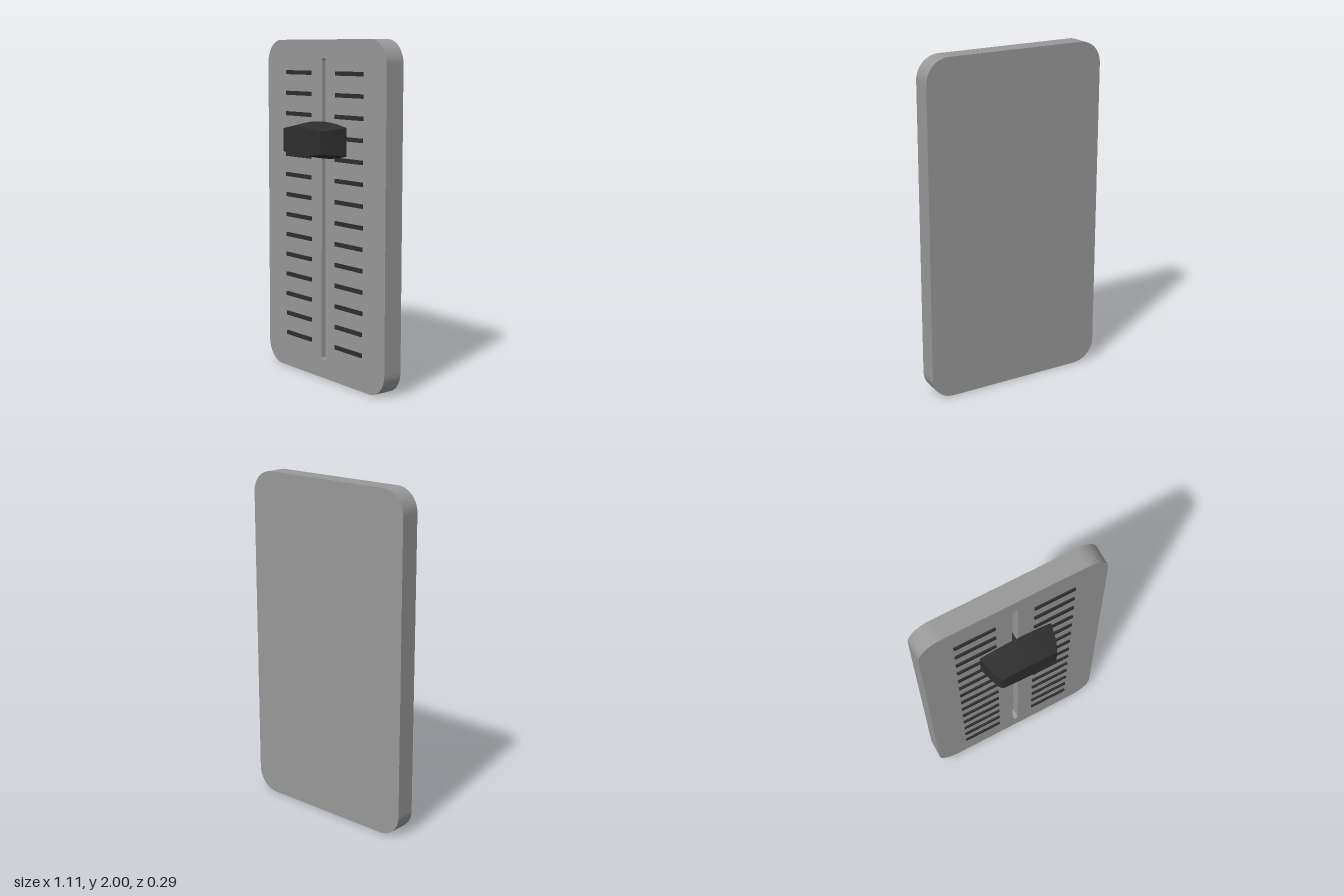
import * as THREE from 'three';
import { toCreasedNormals } from 'three/addons/utils/BufferGeometryUtils.js';

const BACK = -0.145, FACE = -0.025, SLOT_FLOOR = -0.085;
const KNOB_Y = 1.423, KNOB_BACK = -0.018;

// Rounded rectangle outline, centred on x
function roundedOutline(path, halfW, y0, y1, r) {
  path.moveTo(halfW, y0 + r);
  path.absarc(halfW - r, y1 - r, r, 0, Math.PI / 2, false);
  path.absarc(-halfW + r, y1 - r, r, Math.PI / 2, Math.PI, false);
  path.absarc(-halfW + r, y0 + r, r, Math.PI, Math.PI * 1.5, false);
  path.absarc(halfW - r, y0 + r, r, Math.PI * 1.5, Math.PI * 2, false);
  return path;
}

// Plate layer between two depths, with or without the slot
function plateLayer(z0, z1, slotted) {
  const shape = roundedOutline(new THREE.Shape(), 0.555, 0, 2, 0.135);
  if (slotted) shape.holes.push(roundedOutline(new THREE.Path(), 0.0185, 0.11, 1.895, 0.0184));
  const geo = new THREE.ExtrudeGeometry(shape, { depth: z1 - z0, bevelEnabled: false, curveSegments: 8 });
  return geo.translate(0, 0, z0);
}

// Knob: trapezoid cross-sections along x, bowed in height and tapered to the front
function knobGeometry() {
  const side = [[0.22, KNOB_BACK], [0.213, 0.02], [0.204, 0.06], [0.193, 0.095], [0.18, 0.125],
    [0.176, 0.134], [0.17, 0.141], [0.161, 0.145]];
  const stations = side.map(([x, z]) => [-x, z]);
  for (let i = 1; i < 12; i++) stations.push([-0.161 + 0.322 * i / 12, 0.145]);
  stations.push(...side.slice().reverse());

  const pos = [], index = [];
  for (const [x, zFront] of stations) {
    const half = (z) => 0.107 - 0.16 * (z - KNOB_BACK) - 0.54 * x * x;
    const b = half(KNOB_BACK), f = half(zFront);
    pos.push(x, -b, KNOB_BACK, x, -f, zFront, x, f, zFront, x, b, KNOB_BACK);
  }
  for (let i = 0; i < stations.length - 1; i++) {
    for (let j = 0; j < 4; j++) {
      const a = i * 4 + j, b = i * 4 + (j + 1) % 4;
      index.push(a, a + 4, b, b, a + 4, b + 4);
    }
  }
  const geo = new THREE.BufferGeometry();
  geo.setAttribute('position', new THREE.Float32BufferAttribute(pos, 3));
  geo.setIndex(index);
  return toCreasedNormals(geo, 0.5);
}

export function createModel() {
  const group = new THREE.Group();
  const grey = new THREE.MeshStandardMaterial({ color: 0x999999 });
  grey.name = 'plate grey';
  const black = new THREE.MeshStandardMaterial({ color: 0x2e2e2e });
  black.name = 'soft black';

  const add = (name, geo, mat, x = 0, y = 0, z = 0) => {
    const mesh = new THREE.Mesh(geo, mat);
    mesh.name = name;
    mesh.position.set(x, y, z);
    group.add(mesh);
  };

  // Face plate with a blind slot
  add('plateBack', plateLayer(BACK, SLOT_FLOOR, false), grey);
  add('plateFront', plateLayer(SLOT_FLOOR, FACE, true), grey);

  // Scale marks on both sides of the slot
  const mark = new THREE.BoxGeometry(0.244, 0.024, 0.014);
  for (let i = 0; i < 14; i++) {
    const y = 0.213 + i * (1.808 - 0.213) / 13;
    for (const s of [-1, 1]) add(s > 0 ? 'leftMark' : 'rightMark', mark, black, s * 0.238, y, -0.022);
  }

  // Slider knob on its stem
  add('knob', knobGeometry(), black, 0, KNOB_Y, 0);
  add('stem', new THREE.BoxGeometry(0.03, 0.1, 0.07), black, 0, KNOB_Y, -0.05);

  return group;
}
